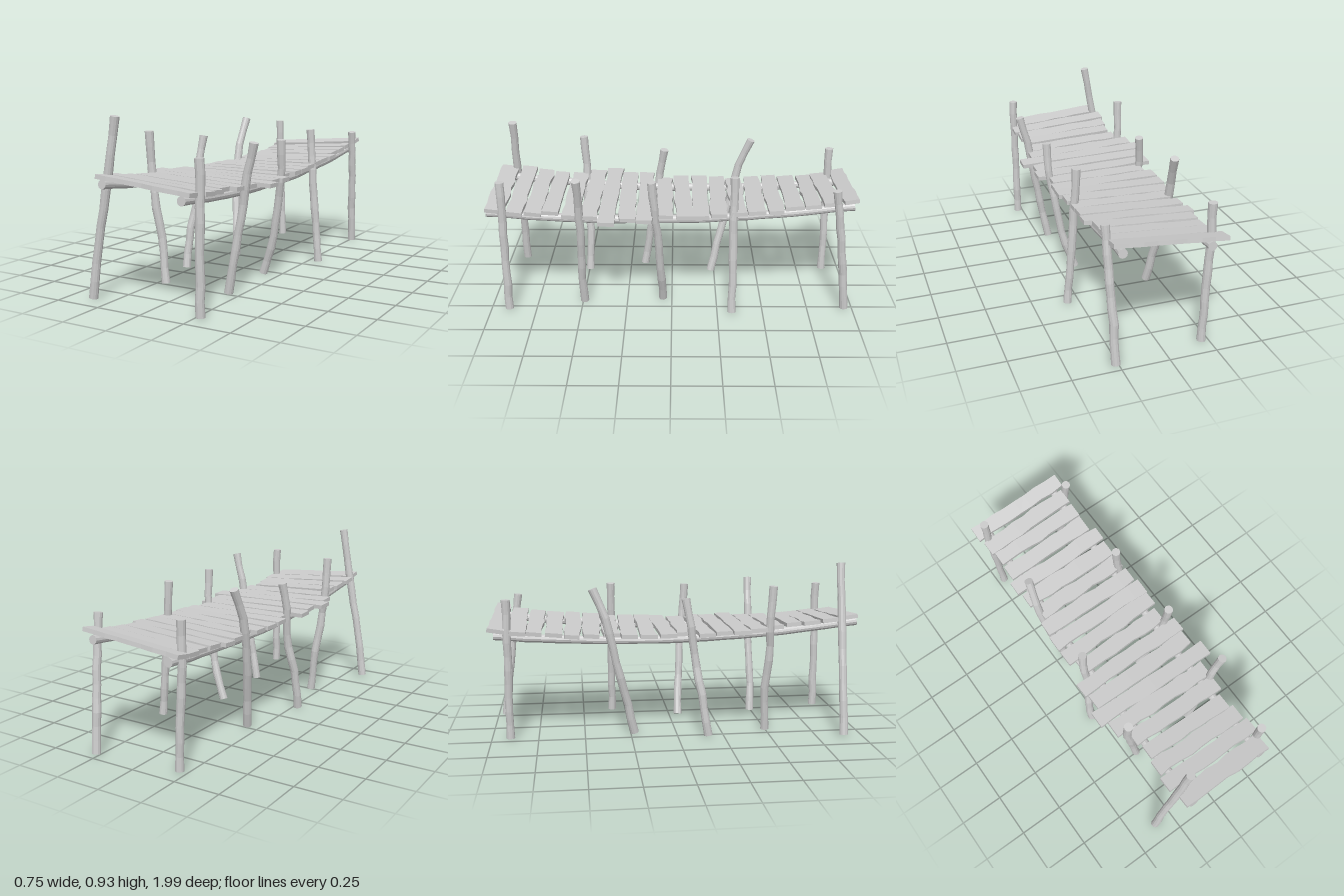
import * as THREE from 'three';

const material = new THREE.MeshStandardMaterial({ color: 0xcccccc, flatShading: true });

let seed = 7;
function jitter(amount) {
  seed = (seed * 16807) % 2147483647;
  return (seed / 2147483647 * 2 - 1) * amount;
}

// Height of the walking surface: sags in the middle and twists along its length
const deckTop = (x, z) => 0.572 + 0.06 * z * z - 0.09 * x * z;

// Rough log swept along a curve, with slightly uneven rings
function log(name, points, radius, rings, sides = 12) {
  const curve = new THREE.CatmullRomCurve3(points.map(p => new THREE.Vector3(...p)));
  const geo = new THREE.CylinderGeometry(1, 1, 1, sides, rings);
  const frames = [];
  const first = new THREE.Vector3(0, 1, 0);
  for (let i = 0; i <= rings; i++) {
    const end = i === 0 || i === rings;
    const tangent = curve.getTangentAt(i / rings);
    const centre = curve.getPointAt(i / rings);
    if (!end) centre.add(new THREE.Vector3(jitter(0.003), 0, jitter(0.003)));
    frames.push({
      centre,
      turn: new THREE.Quaternion().setFromUnitVectors(first, tangent),
      r: radius * (end ? 1.02 : 0.95 + jitter(0.07)),
    });
  }
  const pos = geo.attributes.position;
  const v = new THREE.Vector3();
  for (let i = 0; i < pos.count; i++) {
    const f = frames[Math.round((pos.getY(i) + 0.5) * rings)];
    v.set(pos.getX(i) * f.r, 0, pos.getZ(i) * f.r).applyQuaternion(f.turn).add(f.centre);
    pos.setXYZ(i, v.x, v.y, v.z);
  }
  geo.computeVertexNormals();
  const mesh = new THREE.Mesh(geo, material);
  mesh.name = name;
  return mesh;
}

// Board with hewn, wavy long edges, laid on the deck surface
function plank(x0, x1, z, depth, lift, pitch) {
  const segments = 8, thick = 0.022;
  const geo = new THREE.BoxGeometry(x1 - x0, thick, depth, segments, 1, 1);
  const waves = Array.from({ length: segments + 1 }, () => [jitter(0.006), jitter(0.006)]);
  const pos = geo.attributes.position;
  for (let i = 0; i < pos.count; i++) {
    const k = Math.round((pos.getX(i) / (x1 - x0) + 0.5) * segments);
    const pz = pos.getZ(i);
    pos.setZ(i, pz + waves[k][pz > 0 ? 0 : 1]);
  }
  geo.computeVertexNormals();
  const mesh = new THREE.Mesh(geo, material);
  const x = (x0 + x1) / 2;
  mesh.position.set(x, deckTop(x, z) - thick / 2 + lift, z);
  mesh.rotation.set(-0.12 * z + pitch, jitter(0.02), Math.atan(-0.09 * z));
  mesh.name = 'plank';
  return mesh;
}

export function createModel() {
  seed = 7;
  const model = new THREE.Group();
  model.name = 'footbridge';

  // Deck boards, back to front: left edge, right edge, z
  const boards = [
    [-0.285, 0.29, -0.95], [-0.27, 0.27, -0.85], [-0.255, 0.27, -0.755], [-0.26, 0.265, -0.655],
    [-0.285, 0.3, -0.555], [-0.27, 0.29, -0.455], [-0.245, 0.29, -0.355], [-0.28, 0.295, -0.255],
    [-0.29, 0.31, -0.155], [-0.29, 0.305, -0.06], [-0.25, 0.285, 0.04], [-0.325, 0.34, 0.145],
    [-0.31, 0.325, 0.24], [-0.355, 0.375, 0.34], [-0.315, 0.3, 0.435], [-0.26, 0.295, 0.535],
    [-0.245, 0.265, 0.64], [-0.26, 0.285, 0.735], [-0.275, 0.3, 0.83], [-0.255, 0.285, 0.94],
  ];
  const deck = new THREE.Group();
  deck.name = 'deck';
  boards.forEach(([x0, x1, z], i) => {
    const last = i === 0;
    const depth = i === boards.length - 1 ? 0.1 : 0.087 + jitter(0.004);
    deck.add(plank(x0, x1, z, depth, last ? 0.012 : jitter(0.002), last ? 0.06 : jitter(0.015)));
  });
  model.add(deck);

  // Two sagging logs carry the boards
  for (const [name, x] of [['rightRail', -0.21], ['leftRail', 0.24]]) {
    const points = [];
    for (let i = 0; i <= 10; i++) {
      const z = -0.97 + i * 0.196;
      const wobble = i % 10 ? jitter(0.006) : 0;
      points.push([x + wobble, deckTop(x, z) - 0.043, z]);
    }
    model.add(log(name, points, 0.023, 24));
  }

  // Crooked posts, foot to tip
  const posts = {
    rightPost: [
      [[-0.355, 0.005, 0.9], [-0.315, 0.27, 0.9], [-0.265, 0.52, 0.9], [-0.235, 0.7, 0.9], [-0.193, 0.925, 0.9]],
      [[-0.195, 0.005, 0.495], [-0.215, 0.2, 0.485], [-0.25, 0.45, 0.5], [-0.275, 0.65, 0.5], [-0.277, 0.815, 0.51]],
      [[-0.28, 0.005, 0.165], [-0.275, 0.2, 0.135], [-0.24, 0.45, 0.09], [-0.25, 0.6, 0.07], [-0.235, 0.75, 0.045]],
      [[-0.18, 0.005, -0.23], [-0.205, 0.2, -0.275], [-0.235, 0.4, -0.325], [-0.25, 0.62, -0.375], [-0.235, 0.81, -0.45]],
      [[-0.21, 0.005, -0.9], [-0.22, 0.3, -0.9], [-0.235, 0.55, -0.9], [-0.235, 0.76, -0.9]],
    ],
    leftPost: [
      [[0.28, 0.005, 0.9], [0.278, 0.3, 0.9], [0.283, 0.55, 0.9], [0.28, 0.755, 0.9]],
      [[0.19, 0.005, 0.49], [0.225, 0.2, 0.495], [0.265, 0.4, 0.49], [0.295, 0.6, 0.49], [0.34, 0.787, 0.495]],
      [[0.155, 0.005, 0.05], [0.21, 0.17, 0.06], [0.25, 0.37, 0.07], [0.28, 0.57, 0.09], [0.288, 0.76, 0.105]],
      [[0.315, 0.005, -0.33], [0.295, 0.25, -0.33], [0.275, 0.5, -0.33], [0.255, 0.775, -0.33]],
      [[0.265, 0.005, -0.955], [0.272, 0.25, -0.93], [0.285, 0.5, -0.895], [0.29, 0.715, -0.865]],
    ],
  };
  for (const [name, paths] of Object.entries(posts)) {
    for (const path of paths) model.add(log(name, path, 0.023, 10));
  }
  return model;
}
